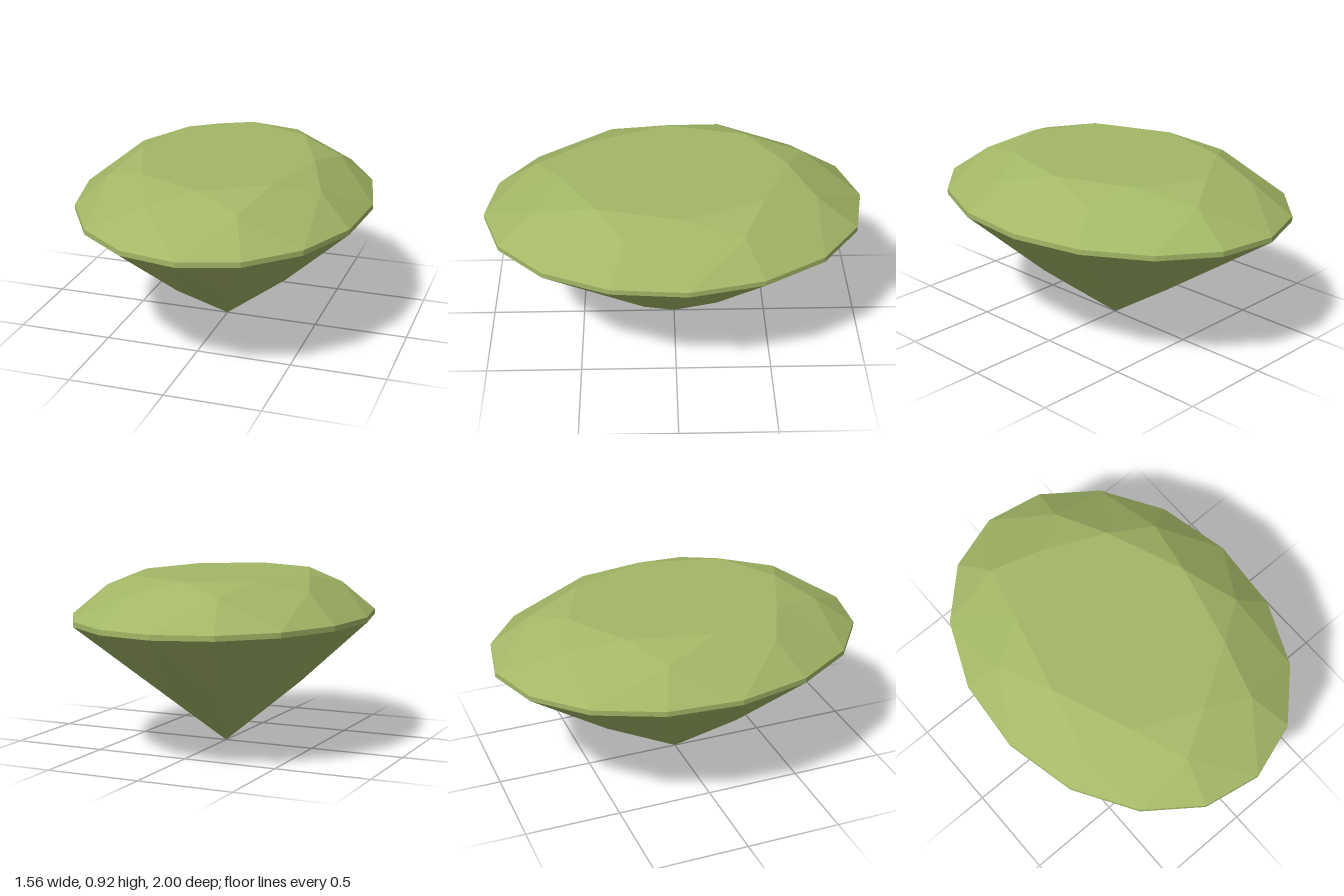
import * as THREE from 'three';

const SIDES = 16;
const TILT = THREE.MathUtils.degToRad(4); // slight turn of the oval outline
const HALF_WIDTH = 0.78, HALF_LENGTH = 1.0;

// Point k of the oval outline, scaled by r, at height y
function ring(k, r, y) {
  const t = (k / SIDES) * Math.PI * 2;
  return new THREE.Vector3(HALF_WIDTH * Math.cos(t) * r, y, HALF_LENGTH * Math.sin(t) * r)
    .applyAxisAngle(new THREE.Vector3(0, 1, 0), TILT);
}

// Mesh from a list of convex facets (corners counter-clockwise from outside)
function facetMesh(name, facets, material) {
  const points = [];
  for (const f of facets)
    for (let i = 1; i < f.length - 1; i++) points.push(f[0], f[i], f[i + 1]);
  const geometry = new THREE.BufferGeometry().setFromPoints(points);
  geometry.computeVertexNormals();
  const mesh = new THREE.Mesh(geometry, material);
  mesh.name = name;
  return mesh;
}

export function createModel() {
  const gemGreen = new THREE.MeshStandardMaterial({ color: 0xa3b766, flatShading: true });
  gemGreen.name = 'gemGreen';

  // Rings of facet corners
  const table = k => ring(k, 0.6, 0.92);
  const mid = k => ring(k, 0.775, 0.859);
  const girdleTop = k => ring(k, 1, 0.707);
  const girdleLow = k => ring(k, 1, 0.68);
  const low = k => ring(k, 0.5, 0.314);
  const culet = new THREE.Vector3(0, 0, 0);

  const top = [], crown = [], girdle = [], pavilion = [];

  for (let e = 0; e < SIDES; e += 2) {
    const o = e + 1;
    top.unshift(table(e));
    // Crown: kite, star facet, and a pair of upper girdle facets
    crown.push(
      [girdleTop(e), mid(e - 1), table(e), mid(o)],
      [mid(o), table(e), table(e + 2)],
      [mid(o), girdleTop(o), girdleTop(e)],
      [mid(o), girdleTop(e + 2), girdleTop(o)]
    );
    // Pavilion: long kite to the point and a pair of lower girdle facets
    pavilion.push(
      [culet, low(e - 1), girdleLow(e), low(o)],
      [low(o), girdleLow(e), girdleLow(o)],
      [low(o), girdleLow(o), girdleLow(e + 2)]
    );
  }

  // Thin upright band around the widest line
  for (let k = 0; k < SIDES; k++)
    girdle.push([girdleLow(k + 1), girdleLow(k), girdleTop(k), girdleTop(k + 1)]);

  const gem = new THREE.Group();
  gem.name = 'ovalGem';
  gem.add(
    facetMesh('table', [top], gemGreen),
    facetMesh('crown', crown, gemGreen),
    facetMesh('girdle', girdle, gemGreen),
    facetMesh('pavilion', pavilion, gemGreen)
  );
  return gem;
}
